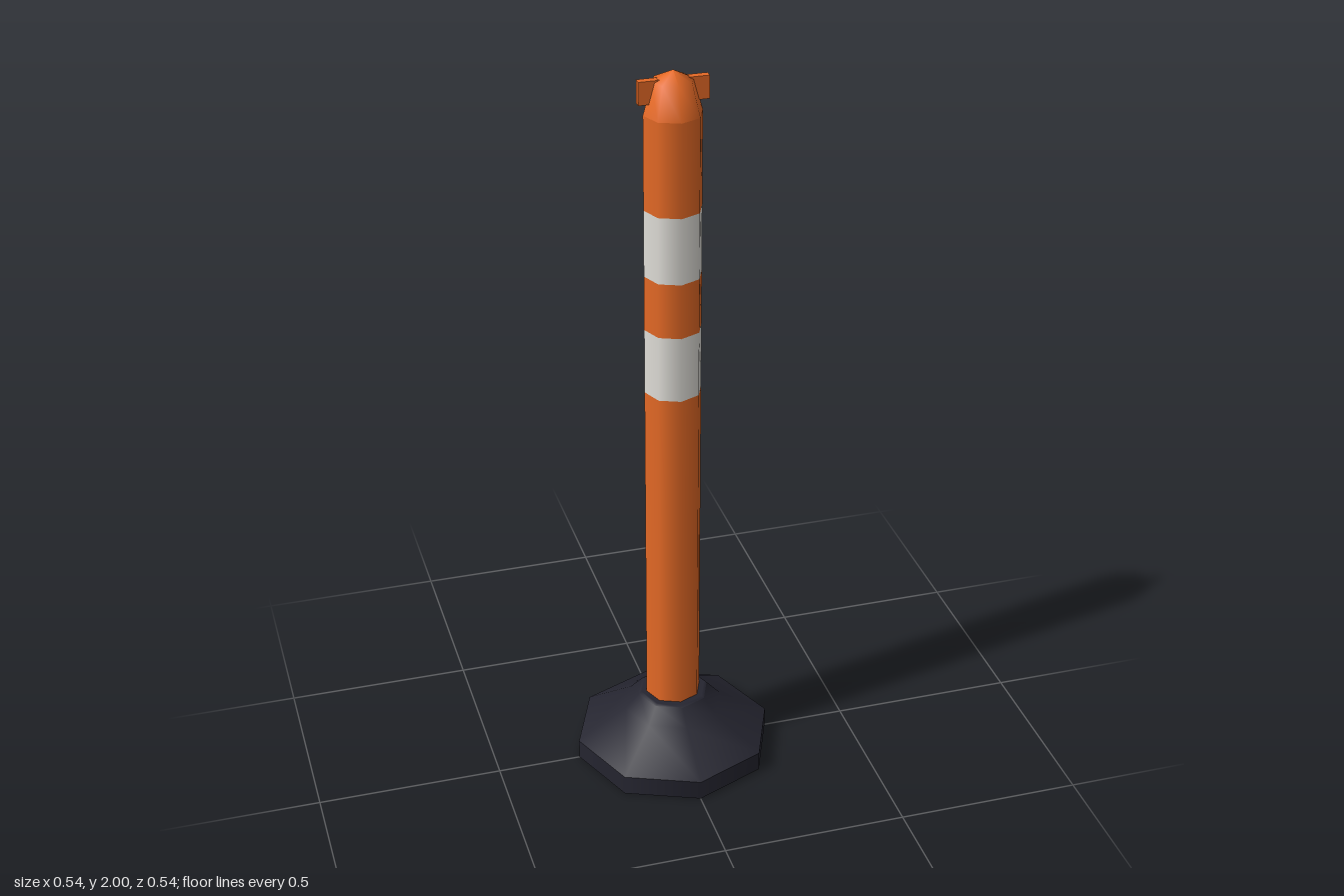
import * as THREE from 'three';

const orange = new THREE.MeshStandardMaterial({ color: 0xe66a26 });
orange.name = 'safety orange';
const white = new THREE.MeshStandardMaterial({ color: 0xe2e0da });
white.name = 'reflective white';
const rubber = new THREE.MeshStandardMaterial({ color: 0x252530 });
rubber.name = 'dark rubber';

const SIDES = 8;
const POST_R = 0.076;

// Eight-sided turned part from [radius, height] pairs, listed bottom to top
function turned(name, material, profile) {
  const points = profile.map(([r, y]) => new THREE.Vector2(r, y));
  const mesh = new THREE.Mesh(new THREE.LatheGeometry(points, SIDES), material);
  mesh.name = name;
  return mesh;
}

export function createModel() {
  const model = new THREE.Group();
  model.name = 'delineatorPost';

  // Weighted base: separate pieces keep the rim edges sharp
  const base = new THREE.Group();
  base.name = 'base';
  base.add(
    turned('baseUnderside', rubber, [[0, 0], [0.272, 0]]),
    turned('baseRim', rubber, [[0.272, 0], [0.272, 0.055]]),
    turned('baseSlope', rubber, [[0.272, 0.055], [0.136, 0.14], [0.098, 0.182]]),
    turned('baseCollarTop', rubber, [[0.098, 0.182], [0.09, 0.187], [0, 0.187]])
  );
  model.add(base);

  // Post, alternating orange and reflective sections
  const heights = [0.18, 1.13, 1.31, 1.46, 1.64, 1.89];
  for (let i = 0; i < heights.length - 1; i++) {
    const band = i % 2 === 1;
    model.add(turned(band ? 'reflectiveBand' : 'postSection', band ? white : orange,
      [[POST_R, heights[i]], [POST_R, heights[i + 1]]]));
  }

  // Rounded cap
  model.add(turned('cap', orange, [[POST_R, 1.89], [0.053, 1.974], [0, 2]]));

  // Small lugs on both sides of the cap
  for (const side of [-1, 1]) {
    const lug = new THREE.Mesh(new THREE.BoxGeometry(0.06, 0.06, 0.02), orange);
    lug.name = side > 0 ? 'leftLug' : 'rightLug';
    lug.position.set(side * 0.06, 1.95, 0);
    model.add(lug);
  }
  return model;
}
